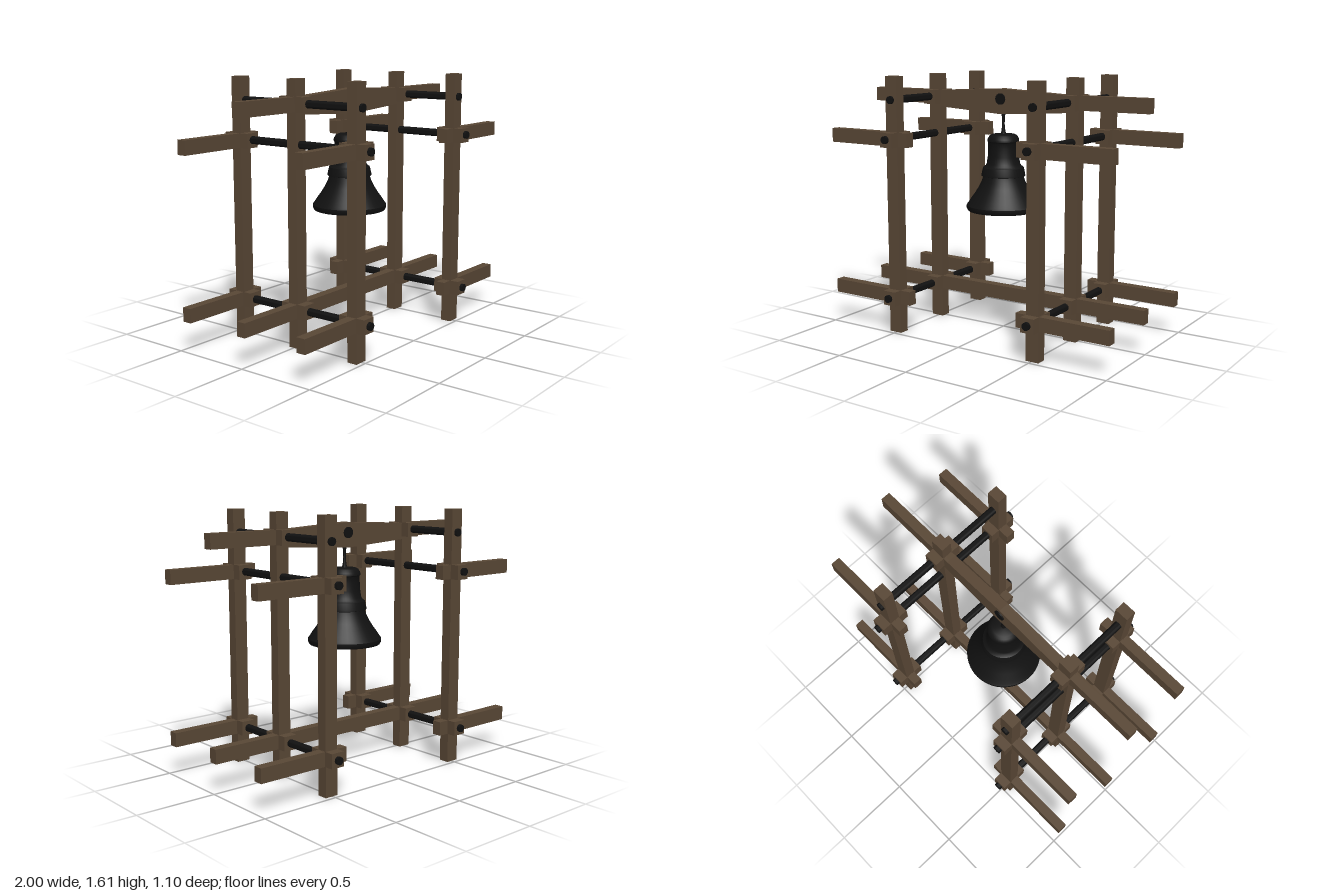
import * as THREE from 'three';
import { toCreasedNormals } from 'three/addons/utils/BufferGeometryUtils.js';

const POST_X = 0.507;
const POST_Z = 0.44;
const LOW_Y = 0.232;
const MID_Y = 1.226;
const TOP_Y = 1.465;

export function createModel() {
  const model = new THREE.Group();
  model.name = 'bellFrame';

  const wood = new THREE.MeshStandardMaterial({ color: 0x5a4836 });
  wood.name = 'dark brown wood';
  const iron = new THREE.MeshStandardMaterial({ color: 0x111111 });
  iron.name = 'black iron';

  const add = (name, geometry, material, x = 0, y = 0, z = 0) => {
    const mesh = new THREE.Mesh(geometry, material);
    mesh.name = name;
    mesh.position.set(x, y, z);
    model.add(mesh);
    return mesh;
  };
  const timber = (name, w, h, d, x, y, z) =>
    add(name, new THREE.BoxGeometry(w, h, d), wood, x, y, z);
  const rod = (name, radius, length, x, y) => {
    const geometry = toCreasedNormals(new THREE.CylinderGeometry(radius, radius, length, 16), 0.8);
    geometry.rotateX(Math.PI / 2);
    return add(name, geometry, iron, x, y, 0);
  };
  // Block clasping a post where a beam crosses it
  const collar = (x, y, z) => timber('collar', 0.09, 0.09, 0.18, x, y, z);

  for (const side of [-1, 1]) {
    const x = side * POST_X;

    // Three posts on each side
    for (const z of [-POST_Z, 0, POST_Z]) timber('post', 0.086, 1.612, 0.066, x, 0.806, z);

    // Outer stub beams and their collars, low and high
    for (const y of [LOW_Y, MID_Y]) {
      for (const z of [-POST_Z, POST_Z]) {
        timber('stubBeam', 0.608, 0.088, 0.06, side * 0.696, y, z);
        collar(x, y, z);
      }
    }

    // Collars on the middle post
    collar(x, LOW_Y, 0);
    collar(x, TOP_Y, 0);

    // Iron tie rods from front to back
    rod('lowerTieRod', 0.024, 1.1, x, LOW_Y);
    rod('middleTieRod', 0.024, 1.1, x, MID_Y + 0.004);
    rod('topTieRod', 0.024, 0.98, x, TOP_Y + 0.003);
  }

  // Full-length middle beams
  timber('lowerBeam', 2, 0.088, 0.06, 0, LOW_Y, 0);
  timber('topBeam', 2, 0.088, 0.06, 0, TOP_Y, 0);

  // Tapered yoke that carries the bell
  const yokeShape = new THREE.Shape([
    [-0.49, 1.404], [0, 1.374], [0.49, 1.404],
    [0.49, 1.506], [0, 1.531], [-0.49, 1.506],
  ].map(([x, y]) => new THREE.Vector2(x, y)));
  const yoke = new THREE.ExtrudeGeometry(yokeShape, { depth: 0.064, bevelEnabled: false });
  add('yoke', yoke, wood, 0, 0, -0.032);
  rod('yokePin', 0.035, 0.08, 0, TOP_Y + 0.003);

  // Lathed parts
  const lathe = (name, profile, segments) => {
    const points = profile.map(([r, y]) => new THREE.Vector2(r, y));
    return add(name, toCreasedNormals(new THREE.LatheGeometry(points, segments), 0.6), iron);
  };

  // Hollow bell: inside downward, around the lip, then up the outside
  lathe('bell', [
    [0, 1.2], [0.07, 1.19], [0.08, 1.06], [0.11, 0.97], [0.15, 0.88], [0.2, 0.8], [0.21, 0.77],
    [0.224, 0.77], [0.232, 0.785], [0.232, 0.803], [0.222, 0.815],
    [0.205, 0.842], [0.18, 0.876], [0.156, 0.915], [0.136, 0.955], [0.127, 0.985],
    [0.138, 0.988], [0.137, 1.0], [0.128, 1.04], [0.112, 1.052],
    [0.105, 1.065], [0.098, 1.11], [0.095, 1.16], [0.095, 1.198],
    [0.099, 1.204], [0.098, 1.22], [0.086, 1.24], [0.07, 1.248], [0, 1.252],
  ], 40);

  // Slim hanger between bell and yoke
  lathe('hanger', [
    [0.02, 1.245], [0.012, 1.27], [0.008, 1.31], [0.009, 1.35], [0.015, 1.395],
  ], 12);

  return model;
}
